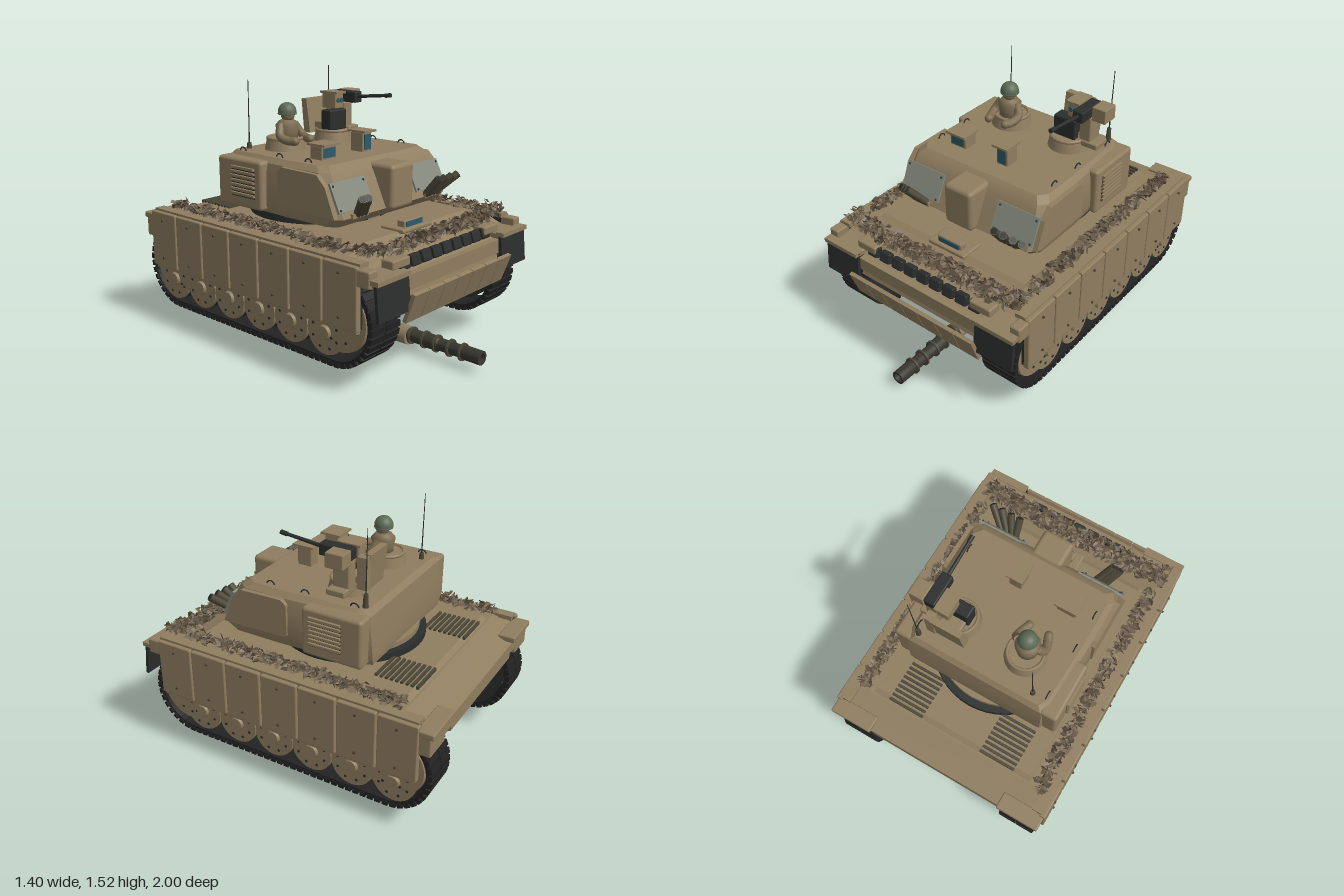
import * as THREE from 'three';
import { mergeGeometries, toCreasedNormals } from 'three/addons/utils/BufferGeometryUtils.js';
import { RoundedBoxGeometry } from 'three/addons/geometries/RoundedBoxGeometry.js';

const mat = (color, extra = {}) => new THREE.MeshStandardMaterial({ color, ...extra });
const TAN = mat(0x8f7d5f), TAN_FLAT = mat(0x8f7d5f, { flatShading: true }), DARK = mat(0x2c2e2e), TRACK = mat(0x222222);
const GLASS = mat(0x2c5a68), PLATE = mat(0x868a7e), STEEL = mat(0x4b4636), CLOTH = mat(0x7d6d52), HELMET = mat(0x5c6b55);
const LEAVES = [0x5c4f3f, 0x74654f].map(c => mat(c, { side: THREE.DoubleSide, flatShading: true }));

let seed = 7;
const rnd = () => (seed = (seed * 16807) % 2147483647) / 2147483647;

function add(parent, name, geo, material, p = [0, 0, 0], r = [0, 0, 0]) {
  const m = new THREE.Mesh(geo, material);
  m.name = name;
  m.position.set(...p);
  m.rotation.set(...r);
  parent.add(m);
  return m;
}
// box given by its limits on each axis
function box(parent, name, [x0, x1], [y0, y1], [z0, z1], material = TAN, round = 0) {
  const w = x1 - x0, h = y1 - y0, d = z1 - z0;
  const geo = round ? new RoundedBoxGeometry(w, h, d, 2, round) : new THREE.BoxGeometry(w, h, d);
  return add(parent, name, geo, material, [(x0 + x1) / 2, (y0 + y1) / 2, (z0 + z1) / 2]);
}
const span = (s, a, b) => (s > 0 ? [a, b] : [-b, -a]);
// cylinder between two points
function rod(parent, name, a, b, r0, r1, material, sides = 14) {
  const A = new THREE.Vector3(...a), B = new THREE.Vector3(...b), d = B.clone().sub(A);
  const m = add(parent, name, new THREE.CylinderGeometry(r1, r0, d.length(), sides), material);
  m.position.copy(A.add(B).multiplyScalar(0.5));
  m.quaternion.setFromUnitVectors(new THREE.Vector3(0, 1, 0), d.normalize());
  return m;
}
// side profile of [z, y] points pulled across x
function sideExtrude(pts, width, hole) {
  const shape = new THREE.Shape(pts.map(p => new THREE.Vector2(...p)));
  if (hole) shape.holes.push(new THREE.Path(hole.map(p => new THREE.Vector2(...p))));
  return new THREE.ExtrudeGeometry(shape, { depth: width, bevelEnabled: false }).translate(0, 0, -width / 2).rotateY(-Math.PI / 2);
}
// mirrored horizontal sections stacked upward: each is [y, [x, z] from front to rear]
function loft(sections) {
  const rings = sections.map(([y, half]) => [
    ...half.map(([x, z]) => [x, y, z]), ...half.slice().reverse().map(([x, z]) => [-x, y, z])]);
  const n = rings[0].length, out = [], top = rings[rings.length - 1], low = rings[0];
  for (let i = 0; i + 1 < rings.length; i++) for (let j = 0; j < n; j++) {
    const k = (j + 1) % n, a = rings[i][j], b = rings[i][k], c = rings[i + 1][k], d = rings[i + 1][j];
    out.push(...a, ...b, ...c, ...a, ...c, ...d);
  }
  for (let j = 1; j + 1 < n; j++) out.push(...top[0], ...top[j], ...top[j + 1], ...low[0], ...low[j + 1], ...low[j]);
  const g = new THREE.BufferGeometry();
  g.setAttribute('position', new THREE.Float32BufferAttribute(out, 3));
  g.computeVertexNormals();
  return toCreasedNormals(g, 0.45);
}

function buildHull(tank) {
  const hull = new THREE.Group(); hull.name = 'hull'; tank.add(hull);
  add(hull, 'lowerHull', sideExtrude([[0.66, 0.33], [0.81, 0.5], [0.79, 0.6], [0.55, 0.7], [-0.8, 0.7], [-0.98, 0.63],
    [-0.98, 0.54], [-0.9, 0.51], [-0.86, 0.33]], 0.84), TAN);
  add(hull, 'upperHull', sideExtrude([[0.77, 0.59], [0.77, 0.61], [0.55, 0.7], [-0.8, 0.7], [-0.98, 0.63], [-0.98, 0.57],
    [-0.92, 0.57]], 1.29), TAN);
  add(hull, 'deckPlate', sideExtrude([[0.58, 0.68], [0.52, 0.72], [-0.76, 0.72], [-0.8, 0.69]], 1.03), TAN);
  // angled front armour panels
  for (let i = 0; i < 7; i++)
    add(hull, 'frontPanel', new THREE.BoxGeometry(0.124, 0.17, 0.022), TAN, [(i - 3) * 0.128, 0.455, 0.845], [0.35, 0, 0]);
  box(hull, 'noseBeam', [-0.43, 0.43], [0.53, 0.61], [0.74, 0.81]);
  // spare links across the nose
  for (let i = 0; i < 9; i++)
    add(hull, 'spareLink', new RoundedBoxGeometry(0.075, 0.065, 0.04, 1, 0.01), DARK, [(i - 4) * 0.092, 0.65, 0.745], [-0.3, 0, 0]);
  box(hull, 'driverHatch', [-0.13, 0.13], [0.71, 0.735], [0.4, 0.56], TAN, 0.01);
  box(hull, 'driverPeriscope', [-0.085, 0.085], [0.725, 0.77], [0.48, 0.53], TAN, 0.006);
  box(hull, 'driverGlass', [-0.07, 0.07], [0.735, 0.763], [0.525, 0.535], GLASS);
  // engine deck louvres
  for (const s of [1, -1]) for (let i = 0; i < 9; i++)
    box(hull, 'deckLouvre', span(s, 0.19, 0.41), [0.715, 0.732], [-0.785 + i * 0.03, -0.77 + i * 0.03], STEEL);
  for (const s of [1, -1]) {
    box(hull, 'frontFender', span(s, 0.43, 0.67), [0.61, 0.645], [0.62, 0.82], TAN, 0.01);
    box(hull, 'fenderEnd', span(s, 0.62, 0.685), [0.6, 0.69], [0.7, 0.79], TAN, 0.01);
    box(hull, 'headlight', span(s, 0.34, 0.48), [0.64, 0.69], [0.69, 0.77], TAN, 0.01);
    add(hull, 'mudFlap', new THREE.BoxGeometry(0.25, 0.2, 0.018), DARK, [s * 0.55, 0.54, 0.825], [-0.1, 0, 0]);
    box(hull, 'flapHanger', span(s, 0.425, 0.68), [0.625, 0.65], [0.79, 0.84]);
    box(hull, 'rearFender', span(s, 0.42, 0.68), [0.64, 0.675], [-1, -0.9], TAN, 0.008);
    box(hull, 'rearLampBox', span(s, 0.5, 0.675), [0.53, 0.65], [-0.985, -0.91], TAN, 0.01);
    // side skirt
    box(hull, 'skirtBacking', span(s, 0.635, 0.66), [0.37, 0.69], [-0.91, 0.71], DARK);
    for (let i = 0; i < 7; i++) {
      const z = 0.713 - i * 0.2345;
      box(hull, 'skirtPanel', span(s, 0.652, 0.688), [0.36, 0.698], [z - 0.227, z], TAN, 0.008);
      for (const y of [0.42, 0.65])
        add(hull, 'skirtBolt', new THREE.CylinderGeometry(0.007, 0.007, 0.016, 8), STEEL, [s * 0.69, y, z - 0.113], [0, 0, Math.PI / 2]);
    }
    box(hull, 'skirtRail', span(s, 0.645, 0.675), [0.345, 0.362], [-0.9, 0.7]);
    box(hull, 'skirtTopRail', span(s, 0.6, 0.665), [0.685, 0.71], [-0.91, 0.715]);
  }
}

// point and heading on the track loop, s measured along its length
const R = 0.245, ZF = 0.525, ZR = -0.735, CY = 0.375, RUN = ZF - ZR, LOOP = 2 * RUN + 2 * Math.PI * R;
function trackPoint(s, r = R) {
  if (s < RUN) return [ZR + s, CY - r, 0];
  s -= RUN;
  if (s < Math.PI * R) { const a = s / R; return [ZF + r * Math.sin(a), CY - r * Math.cos(a), a]; }
  s -= Math.PI * R;
  if (s < RUN) return [ZF - s, CY + r, Math.PI];
  const a = Math.PI + (s - RUN) / R;
  return [ZR + r * Math.sin(a), CY - r * Math.cos(a), a];
}

function buildRunningGear(tank) {
  const loop = r => Array.from({ length: 120 }, (_, i) => trackPoint((i / 120) * LOOP, r).slice(0, 2));
  const links = [], N = 92;
  for (let i = 0; i < N; i++) {
    const [z, y, a] = trackPoint((i / N) * LOOP);
    for (const [x, w, h, d] of [[-0.057, 0.106, 0.026, 0.032], [0.057, 0.106, 0.026, 0.032], [0, 0.225, 0.014, 0.02]])
      links.push(new THREE.BoxGeometry(w, h, d).rotateX(-a).translate(x, y, z));
  }
  const linkGeo = mergeGeometries(links), band = sideExtrude(loop(R - 0.002), 0.21, loop(R - 0.022));
  for (const s of [1, -1]) {
    const gear = new THREE.Group(); gear.name = 'runningGear'; gear.position.x = s * 0.54; tank.add(gear);
    add(gear, 'trackLinks', linkGeo, TRACK);
    add(gear, 'trackBand', band, TRACK);
    box(gear, 'wheelWell', span(s, -0.125, -0.112), [0.35, 0.6], [-0.85, 0.65], DARK);
    const wheel = (name, z, y, r) => {
      const t = [0, 0, Math.PI / 2];
      add(gear, name, new THREE.CylinderGeometry(r, r, 0.17, 32), DARK, [-s * 0.005, y, z], t);
      add(gear, name + 'Disc', new THREE.CylinderGeometry(r * 0.97, r, 0.03, 32), TAN, [s * 0.085, y, z], [0, 0, -s * Math.PI / 2]);
      add(gear, name + 'Hub', new THREE.CylinderGeometry(0.035, 0.045, 0.02, 16), TAN, [s * 0.105, y, z], [0, 0, -s * Math.PI / 2]);
      for (let k = 0; k < 8; k++) {
        const a = (k + 0.5) * Math.PI / 4;
        add(gear, name + 'Bolt', new THREE.CylinderGeometry(0.008, 0.008, 0.008, 8), DARK,
          [s * 0.1, y + Math.sin(a) * r * 0.7, z + Math.cos(a) * r * 0.7], t);
      }
    };
    for (let i = 0; i < 6; i++) wheel('roadWheel', 0.46 - i * 0.247, 0.285, 0.126);
    wheel('idlerWheel', ZF + 0.03, CY + 0.01, 0.185);
    wheel('driveSprocket', ZR - 0.03, CY + 0.01, 0.185);
  }
}

function buildTurret(tank) {
  const turret = new THREE.Group(); turret.name = 'turret'; tank.add(turret);
  add(turret, 'turretRing', new THREE.CylinderGeometry(0.42, 0.42, 0.05, 48), DARK, [0, 0.735, -0.17]);
  add(turret, 'turretCollar', new THREE.CylinderGeometry(0.4, 0.4, 0.08, 48), TAN, [0, 0.75, -0.15]);
  const half = (hw, front, rear, rw) => [[hw - 0.04, front], [hw, front - 0.05], [hw, 0], [rw + 0.03, rear + 0.06], [rw, rear]];
  add(turret, 'turretBody', loft([
    [0.775, half(0.46, 0.36, -0.515, 0.4)], [0.825, half(0.48, 0.41, -0.522, 0.42)], [1, half(0.472, 0.33, -0.505, 0.42)],
    [1.055, half(0.46, 0.3, -0.5, 0.41)], [1.085, half(0.43, 0.26, -0.475, 0.385)]]), TAN);
  box(turret, 'mantlet', [-0.096, 0.096], [0.815, 1.065], [0.22, 0.455], TAN, 0.025);
  for (const s of [1, -1]) {
    add(turret, 'cheekPlate', new THREE.BoxGeometry(0.275, 0.165, 0.014), PLATE, [s * 0.328, 0.935, 0.363], [-0.44, 0, 0]);
    for (const [x, y] of [[0.21, 0.995], [0.45, 0.995], [0.21, 0.875], [0.45, 0.875]])
      add(turret, 'plateBolt', new THREE.SphereGeometry(0.007, 8, 6), DARK, [s * x, y, 0.373 - (y - 0.93) * 0.47]);
    add(turret, 'cheekArmour', sideExtrude([[0.385, 0.83], [0.32, 0.99], [0.26, 1.05], [0, 1.055], [-0.03, 1.03], [-0.035, 0.85],
      [-0.02, 0.84]], 0.03), TAN, [s * 0.472, 0, 0]);
    // louvred side box
    box(turret, 'sideBox', span(s, 0.4, 0.508), [0.785, 1.065], [-0.5, -0.14], TAN, 0.02);
    for (let i = 0; i < 7; i++) {
      box(turret, 'sideLouvre', span(s, 0.5, 0.524), [0.858 + i * 0.025, 0.872 + i * 0.025], [-0.38, -0.19], TAN);
      box(turret, 'louvreGap', span(s, 0.5, 0.511), [0.848 + i * 0.025, 0.858 + i * 0.025], [-0.38, -0.19], DARK);
    }
    // roof grab handles
    for (const z of [-0.4, -0.1, 0.12])
      add(turret, 'grabHandle', new THREE.TorusGeometry(0.025, 0.004, 6, 12, Math.PI), DARK, [s * 0.4, 1.08, z], [0, Math.PI / 2, 0]);
    // smoke dischargers
    const tubes = s > 0 ? [[0.27, 0.285], [0.295, 0.345], [0.325, 0.41], [0.36, 0.47]] : [[-0.33, -0.385], [-0.305, -0.365], [-0.275, -0.34]];
    for (const [x0, x1] of tubes) {
      const a = [x0, 0.835, 0.405], b = [x1, 0.94, 0.49], at = t => a.map((v, i) => v + (b[i] - v) * t);
      rod(turret, 'smokeTube', a, b, 0.021, 0.023, STEEL);
      rod(turret, 'smokeTubeMouth', at(0.99), at(1.012), 0.017, 0.017, DARK);
    }
    box(turret, 'smokeBracket', span(s, 0.25, 0.38), [0.82, 0.845], [0.37, 0.42]);
  }
  // roof sights
  for (const [x0, x1, top] of [[-0.315, -0.2, 1.16], [0.022, 0.1, 1.195]]) {
    box(turret, 'sight', [x0, x1], [1.06, top], [0.05, 0.14], TAN, 0.006);
    box(turret, 'sightHood', [x0 - 0.012, x1 + 0.012], [top, top + 0.012], [0.035, 0.165]);
    box(turret, 'sightGlass', [x0 + 0.012, x1 - 0.012], [1.095, top - 0.012], [0.135, 0.145], GLASS);
  }
  for (const x of [-0.19, 0.22]) {
    add(turret, 'cupola', new THREE.CylinderGeometry(0.105, 0.12, 0.07, 32), TAN, [x, 1.115, -0.27]);
    add(turret, 'cupolaRim', new THREE.TorusGeometry(0.1, 0.01, 8, 32), TAN, [x, 1.15, -0.27], [Math.PI / 2, 0, 0]);
  }
  // whip antennas
  for (const [x, z, y] of [[-0.325, -0.43, 1.08], [0.375, -0.45, 1.12]]) {
    rod(turret, 'antennaBase', [x, 1.05, z], [x, y + 0.04, z], 0.018, 0.012, STEEL);
    rod(turret, 'antenna', [x, y + 0.02, z], [x + 0.006, y + 0.4, z - 0.005], 0.004, 0.002, DARK, 6);
  }
}

function buildCommander(tank) {
  const man = new THREE.Group(); man.name = 'commander'; man.position.set(-0.19, 0, -0.25); tank.add(man);
  const torso = [[0, 1.12], [0.062, 1.12], [0.06, 1.18], [0.07, 1.225], [0.05, 1.25], [0.025, 1.262], [0, 1.262]];
  add(man, 'torso', new THREE.LatheGeometry(torso.map(p => new THREE.Vector2(...p)), 20), CLOTH);
  add(man, 'head', new THREE.SphereGeometry(0.04, 18, 12), CLOTH, [0, 1.283, 0.005]);
  add(man, 'helmet', new THREE.SphereGeometry(0.054, 20, 10, 0, Math.PI * 2, 0, Math.PI * 0.58), HELMET, [0, 1.302, 0]);
  add(man, 'helmetRim', new THREE.TorusGeometry(0.05, 0.006, 6, 20), HELMET, [0, 1.292, 0], [Math.PI / 2, 0, 0]);
  for (const s of [1, -1]) {
    const arm = new THREE.CatmullRomCurve3([[0.055, 1.23, 0], [0.085, 1.17, 0.03], [0.075, 1.15, 0.08], [0.06, 1.15, 0.12]].map(p => new THREE.Vector3(p[0] * s, p[1], p[2])));
    add(man, 'arm', new THREE.TubeGeometry(arm, 12, 0.025, 10), CLOTH);
    add(man, 'hand', new THREE.SphereGeometry(0.025, 12, 8), CLOTH, [s * 0.06, 1.15, 0.122]);
  }
}

function buildWeaponStation(tank) {
  const gun = new THREE.Group(); gun.name = 'weaponStation'; tank.add(gun);
  const shield = sideExtrude([[-0.36, 1.13], [-0.39, 1.335], [-0.43, 1.335], [-0.41, 1.13]], 0.18);
  add(gun, 'shield', shield, TAN, [0.2, 0, 0]);
  box(gun, 'shieldWing', [0.28, 0.33], [1.15, 1.33], [-0.425, -0.37]);
  box(gun, 'opticHousing', [0.145, 0.29], [1.15, 1.275], [-0.3, -0.22], DARK, 0.01);
  box(gun, 'pedestal', [0.16, 0.29], [1.14, 1.2], [-0.37, -0.25], TAN, 0.01);
  box(gun, 'sensor', [0.22, 0.293], [1.275, 1.37], [-0.36, -0.25], TAN, 0.006);
  box(gun, 'sensorHood', [0.213, 0.3], [1.365, 1.378], [-0.37, -0.235]);
  for (const x of [0.242, 0.272]) add(gun, 'sensorLens', new THREE.CylinderGeometry(0.014, 0.014, 0.01, 14), GLASS, [x, 1.325, -0.247], [Math.PI / 2, 0, 0]);
  box(gun, 'gunCradle', [0.3, 0.375], [1.15, 1.31], [-0.35, -0.25], TAN, 0.01);
  box(gun, 'supportArm', [0.3, 0.425], [1.125, 1.16], [-0.35, -0.24], TAN, 0.008);
  box(gun, 'receiver', [0.305, 0.372], [1.31, 1.377], [-0.355, -0.165], DARK, 0.008);
  rod(gun, 'gunBarrel', [0.339, 1.348, -0.17], [0.339, 1.373, 0.08], 0.011, 0.009, DARK);
  rod(gun, 'gunMuzzle', [0.339, 1.369, 0.045], [0.339, 1.374, 0.085], 0.013, 0.013, DARK);
  box(gun, 'ammoBox', [0.372, 0.46], [1.295, 1.38], [-0.36, -0.255], TAN, 0.006);
}

function buildMainGun(tank) {
  const profile = [[0, -0.12], [0.087, -0.12], [0.087, -0.105], [0.055, -0.005], [0.048, 0], [0.046, 0.32], [0.038, 0.52], [0.038, 0.62],
    [0.042, 0.62], [0.042, 0.72], [0.036, 0.73], [0.036, 0.86], [0.04, 0.87], [0.04, 1], [0.026, 1], [0.026, 0.93], [0, 0.93]];
  const barrel = new THREE.LatheGeometry(profile.map(p => new THREE.Vector2(...p)), 32).rotateX(Math.PI / 2);
  const gun = new THREE.Group(); gun.name = 'mainGun'; gun.position.y = 0.088; tank.add(gun);
  add(gun, 'barrel', toCreasedNormals(barrel, 0.5), mat(0x38372f));
  rod(gun, 'boreEvacuator', [0, -0.008, 0.32], [0, -0.008, 0.52], 0.053, 0.053, TAN, 28);
  for (const z of [0.07, 0.14, 0.29, 0.54, 0.63, 0.71, 0.8, 0.88])
    rod(gun, 'barrelBand', [0, 0, z - 0.006], [0, 0, z + 0.006], 0.05, 0.05, STEEL, 24);
}

// loose camouflage: small folded scraps scattered through a volume
function buildCamouflage(tank) {
  const strips = [[700, () => { const x = (rnd() * 2 - 1) * 0.62; return [x, 0.695 + rnd() * 0.04 + Math.max(0, Math.abs(x) - 0.42) * 0.22, 0.605 + rnd() * 0.12]; }]];
  for (const s of [1, -1])
    strips.push([420, () => [s * (0.545 + rnd() * 0.07), 0.715 + rnd() * 0.045, -0.81 + rnd() * 1.36]]);
  for (const [count, place] of strips) for (const material of LEAVES) {
    const v = [];
    for (let i = 0; i < count / 2; i++) {
      const c = new THREE.Vector3(...place()), e = new THREE.Euler((rnd() - 0.5) * 2.4, rnd() * 6.3, (rnd() - 0.5) * 2.4);
      const w = 0.008 + rnd() * 0.008, l = 0.014 + rnd() * 0.014;
      const [a, b, d, f] = [[-w, 0, -l], [w, 0.006, -l * 0.6], [w * 0.7, 0, l], [-w, 0.006, l * 0.5]].map(p => new THREE.Vector3(...p).applyEuler(e).add(c).toArray());
      v.push(...a, ...d, ...b, ...a, ...f, ...d);
    }
    const g = new THREE.BufferGeometry();
    g.setAttribute('position', new THREE.Float32BufferAttribute(v, 3));
    g.computeVertexNormals();
    add(tank, 'camouflageScraps', g, material);
  }
}

export function createModel() {
  const tank = new THREE.Group();
  tank.name = 'tank';
  for (const build of [buildHull, buildRunningGear, buildTurret, buildCommander, buildWeaponStation, buildMainGun, buildCamouflage]) build(tank);
  return tank;
}
